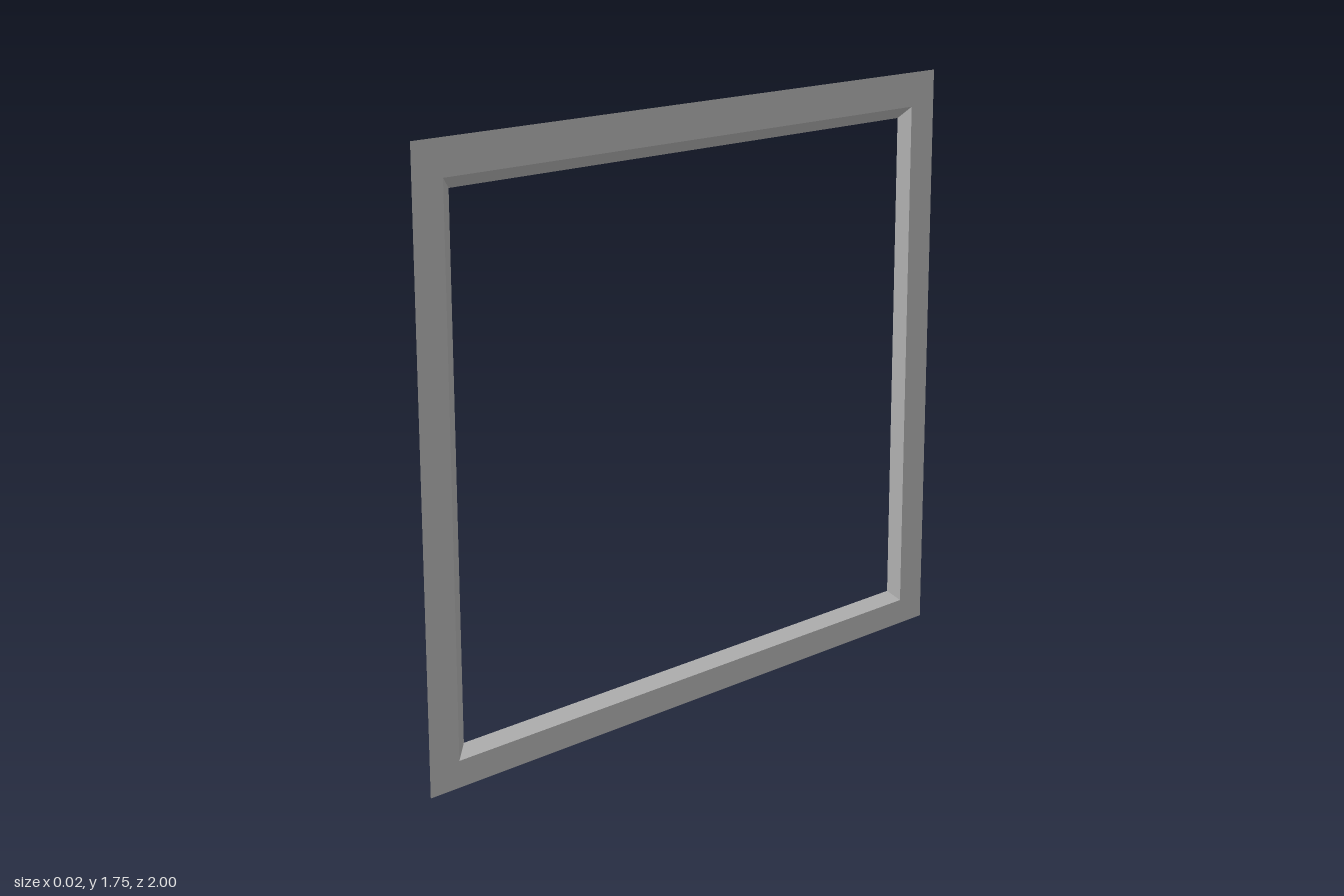
import * as THREE from 'three';

// Rectangle in the plane x, corners counter-clockwise seen from +x
const rect = (x, halfZ, y0, y1) => [
  [x, y0, halfZ], [x, y0, -halfZ], [x, y1, -halfZ], [x, y1, halfZ],
];

// Band of four mitred quads between an outer and an inner rectangle
function band(name, outer, inner, material) {
  const points = [];
  for (let i = 0; i < 4; i++) {
    const j = (i + 1) % 4;
    points.push(outer[i], outer[j], inner[j], outer[i], inner[j], inner[i]);
  }
  const geometry = new THREE.BufferGeometry();
  geometry.setAttribute('position', new THREE.Float32BufferAttribute(points.flat(), 3));
  geometry.computeVertexNormals();
  const mesh = new THREE.Mesh(geometry, material);
  mesh.name = name;
  return mesh;
}

export function createModel() {
  const model = new THREE.Group();
  model.name = 'windowFrame';
  const material = new THREE.MeshStandardMaterial({
    color: 0xcccccc, flatShading: true, side: THREE.DoubleSide,
  });

  const depth = 0.012; // half the depth of the lip
  const outerEdge = rect(depth, 1, 0, 1.753);
  const openingEdge = rect(depth, 0.9, 0.077, 1.65);
  const lipEdge = rect(-depth, 0.864, 0.111, 1.617);

  // Flat face sheet, and the thin lip sloping in through the opening
  model.add(band('faceTrim', outerEdge, openingEdge, material));
  model.add(band('bevelledLip', openingEdge, lipEdge, material));
  return model;
}
